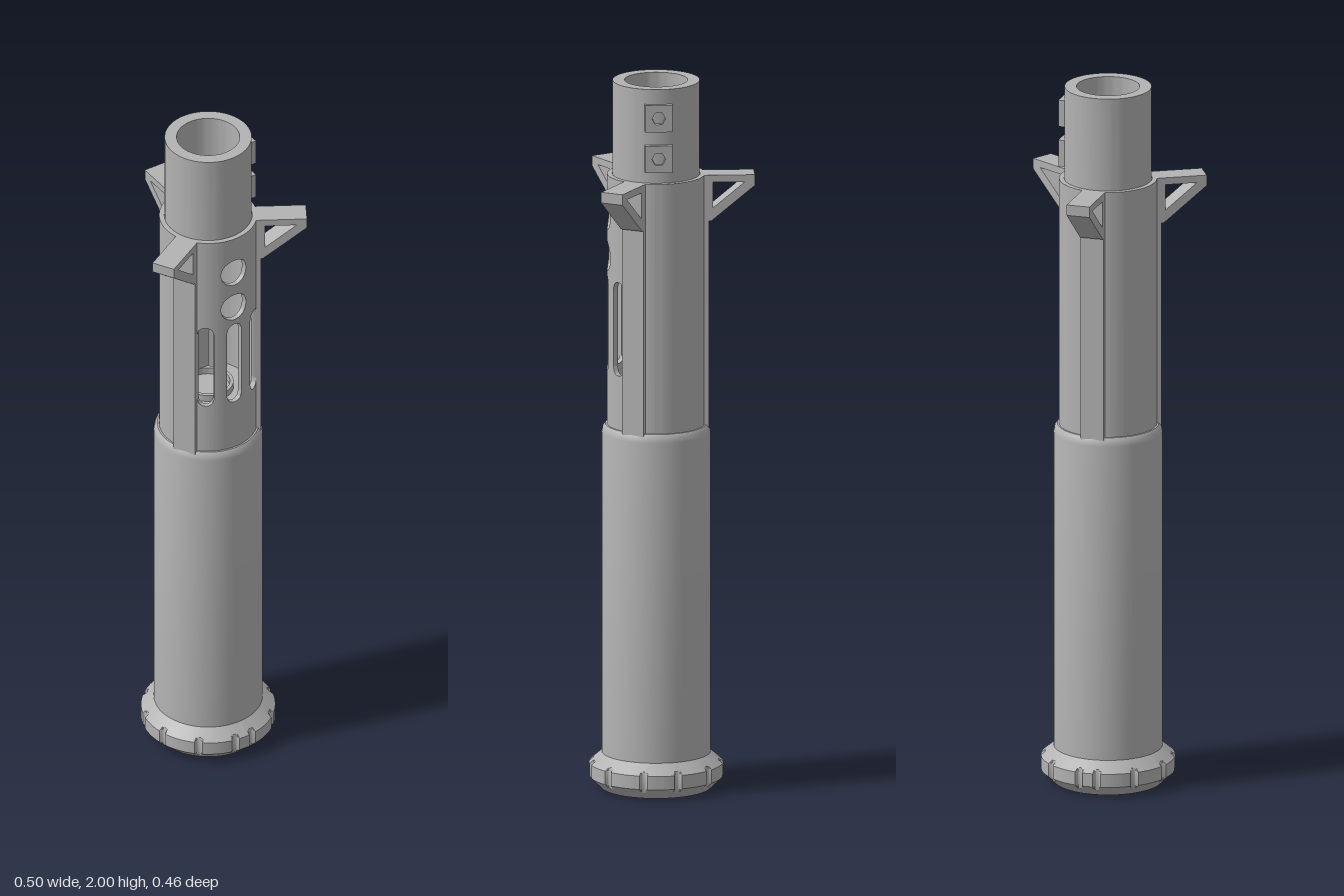
import * as THREE from 'three';
import { mergeGeometries, toCreasedNormals } from 'three/addons/utils/BufferGeometryUtils.js';

const RAD = Math.PI / 180;
const V = (x, y) => new THREE.Vector2(x, y);

export function createModel() {
  const root = new THREE.Group();
  const axis = new THREE.Group();
  axis.name = 'cylinderAssembly';
  axis.position.set(-0.003, 0, 0.044);
  root.add(axis);

  const gray = new THREE.MeshStandardMaterial({ color: 0xb3b3b3 });
  gray.name = 'plainGray';

  function add(name, geometry, parent = axis) {
    const mesh = new THREE.Mesh(geometry, gray);
    mesh.name = name;
    parent.add(mesh);
    return mesh;
  }
  const box = (w, h, d, x, y, z) => new THREE.BoxGeometry(w, h, d).translate(x, y, z);
  const lathe = (points) => toCreasedNormals(
    new THREE.LatheGeometry(points.map(([r, y]) => V(r, y)), 72), 35 * RAD);

  // Hollow lower grip with a rounded shoulder
  add('lowerBody', lathe([
    [0.137, 0.02], [0.15, 0.02], [0.15, 1.005], [0.147, 1.02], [0.14, 1.028],
    [0.122, 1.028], [0.122, 1.0], [0.137, 0.98], [0.137, 0.02],
  ]));

  // Top tube
  add('topTube', lathe([
    [0.087, 1.68], [0.12, 1.68], [0.12, 2], [0.087, 2], [0.087, 1.68],
  ]));

  // Sleeve made of narrow curved cells, leaving out the round and slotted openings
  const R = 0.135, INNER = 0.121, Y0 = 1.02, Y1 = 1.735, STEP = 2;
  const openings = [
    { at: 0, half: 18, y: 1.62, straight: 0 },
    { at: 0, half: 18, y: 1.503, straight: 0 },
    ...[-36, 0, 36].map((at) => ({ at, half: 10, y: 1.313, straight: 0.109 })),
  ];
  const reach = (o, deg) => {
    const r = R * Math.sin(o.half * RAD), d = R * Math.sin((deg - o.at) * RAD);
    return o.straight + Math.sqrt(Math.max(0, r * r - d * d));
  };
  const cells = [];
  for (let a = -180; a < 180; a += STEP) {
    const b = a + STEP;
    const cut = openings
      .filter((o) => Math.abs(a + STEP / 2 - o.at) < o.half)
      .sort((p, q) => p.y - q.y);
    let low = [Y0, Y0];
    for (let i = 0; i <= cut.length; i++) {
      const o = cut[i];
      const high = o ? [o.y - reach(o, a), o.y - reach(o, b)] : [Y1, Y1];
      const shape = new THREE.Shape([
        V(a * RAD, low[0]), V(b * RAD, low[1]), V(b * RAD, high[1]), V(a * RAD, high[0]),
      ]);
      cells.push(new THREE.ExtrudeGeometry(shape, { depth: R - INNER, bevelEnabled: false }));
      if (o) low = [o.y + reach(o, a), o.y + reach(o, b)];
    }
  }
  const sleeve = mergeGeometries(cells);
  const p = sleeve.attributes.position;
  for (let i = 0; i < p.count; i++) {
    const t = p.getX(i), r = INNER + p.getZ(i);
    p.setXYZ(i, r * Math.sin(t), p.getY(i), r * Math.cos(t));
  }
  add('slottedSleeve', toCreasedNormals(sleeve, 35 * RAD));

  // Three triangular brackets, each above a long rail
  const bracketShape = new THREE.Shape([
    V(0.125, 1.605), V(0.15, 1.605), V(0.271, 1.705), V(0.271, 1.735), V(0.125, 1.735),
  ]);
  bracketShape.holes.push(new THREE.Path([V(0.155, 1.642), V(0.155, 1.715), V(0.243, 1.715)]));
  const bracketGeometry = new THREE.ExtrudeGeometry(bracketShape, { depth: 0.066, bevelEnabled: false })
    .translate(0, 0, -0.033);
  const railGeometry = box(0.021, 0.587, 0.066, 0.1335, 1.3135, 0);
  for (const deg of [90, -30, 210]) {
    const fin = new THREE.Group();
    fin.name = 'fin';
    fin.rotation.y = deg * RAD;
    add('bracket', bracketGeometry, fin);
    add('rail', railGeometry, fin);
    axis.add(fin);
  }

  // Two square side pads with hexagonal sockets
  const padShape = new THREE.Shape([V(-0.038, -0.038), V(0.038, -0.038), V(0.038, 0.038), V(-0.038, 0.038)]);
  const socket = [];
  for (let i = 0; i < 6; i++) socket.push(V(0.019 * Math.cos(i * 60 * RAD), 0.019 * Math.sin(i * 60 * RAD)));
  padShape.holes.push(new THREE.Path(socket));
  const padGeometry = new THREE.ExtrudeGeometry(padShape, { depth: 0.02, bevelEnabled: false })
    .rotateY(Math.PI / 2);
  for (const y of [1.92, 1.805]) add('sidePad', padGeometry).position.set(0.112, y, 0);

  // Chamfered end cap with upright grooves in its rim
  const grooves = [8.5, 41, 76, 106, 139, 172].flatMap((d) => [d, -d]);
  const levels = [[0.152, 0], [0.173, 0.02], [0.185, 0.032], [0.185, 0.07], [0.173, 0.08], [0.149, 0.1]];
  const rimPoint = (deg, [r, y]) => {
    let limit = r;
    for (const g of grooves) {
      const s = 0.185 * Math.sin((deg - g) * RAD);
      if (Math.abs(s) < 0.01 && Math.cos((deg - g) * RAD) > 0) {
        limit = Math.min(limit, 0.185 - Math.sqrt(0.0001 - s * s));
      }
    }
    return [limit * Math.sin(deg * RAD), y, limit * Math.cos(deg * RAD)];
  };
  const rim = [];
  for (let d = 0; d < 360; d += 0.5) {
    for (let j = 0; j < levels.length - 1; j++) {
      const a = rimPoint(d, levels[j]), b = rimPoint(d + 0.5, levels[j]);
      const c = rimPoint(d + 0.5, levels[j + 1]), e = rimPoint(d, levels[j + 1]);
      rim.push(...a, ...b, ...c, ...a, ...c, ...e);
    }
  }
  const rimGeometry = new THREE.BufferGeometry();
  rimGeometry.setAttribute('position', new THREE.Float32BufferAttribute(rim, 3));
  add('endCapRim', toCreasedNormals(rimGeometry, 30 * RAD));

  // Bottom plate with six radial slits
  const plate = new THREE.Shape().absarc(0, 0, 0.152, 0, Math.PI * 2);
  for (let i = 0; i < 6; i++) {
    const t = i * 60 * RAD;
    const at = (u, v) => V(u * Math.cos(t) - v * Math.sin(t), u * Math.sin(t) + v * Math.cos(t));
    plate.holes.push(new THREE.Path([at(0.06, -0.006), at(0.06, 0.006), at(0.11, 0.006), at(0.11, -0.006)]));
  }
  // Slits lie 30 degrees either side of front and back
  add('bottomPlate', new THREE.ExtrudeGeometry(plate, { depth: 0.025, bevelEnabled: false, curveSegments: 48 })
    .rotateX(-Math.PI / 2).rotateY(30 * RAD));

  // Inner chassis: floor with a straight rear edge, upright board and a low round holder
  const floor = new THREE.Shape().absarc(0, 0, 0.119, -210 * RAD, 30 * RAD);
  add('chassisFloor', new THREE.ExtrudeGeometry(floor, { depth: 0.02, bevelEnabled: false, curveSegments: 36 })
    .rotateX(-Math.PI / 2).translate(0, 1.13, 0));
  add('chassisBoard', box(0.08, 0.5, 0.02, 0, 1.38, -0.07));
  add('roundHolder', lathe([
    [0.06, 1.15], [0.07, 1.15], [0.07, 1.17], [0.06, 1.17], [0.06, 1.15],
  ]));

  return root;
}
